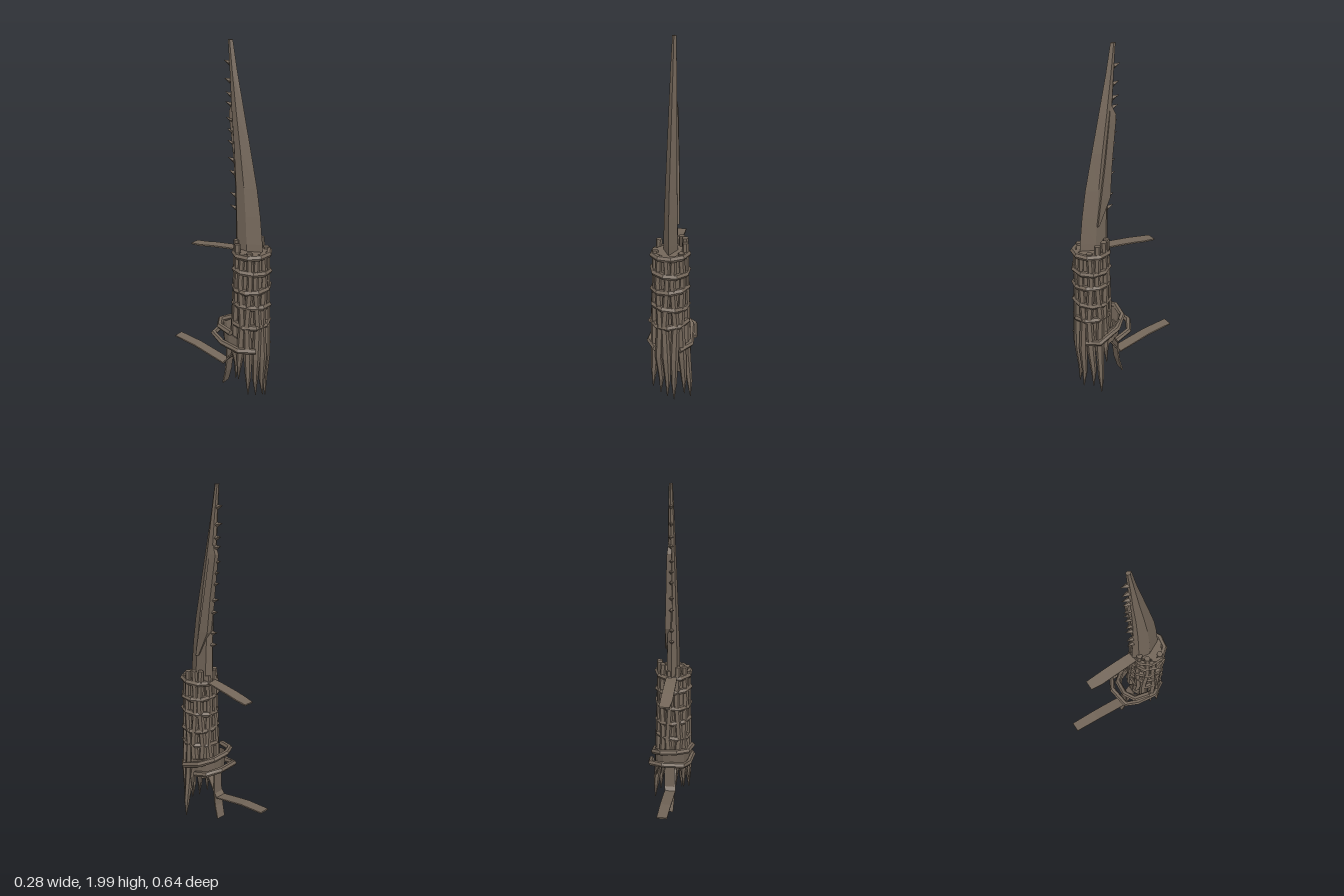
import * as THREE from 'three';

const bark = new THREE.MeshStandardMaterial({ color: 0x74675a, flatShading: true, side: THREE.DoubleSide });
bark.name = 'weathered brown';

// Surface through equal-length cross-sections, closed around and capped
function loft(sections) {
  const n = sections[0].length, pos = [], idx = [];
  sections.forEach(s => s.forEach(p => pos.push(...p)));
  for (let i = 0; i < sections.length - 1; i++) {
    for (let j = 0; j < n; j++) {
      const a = i * n + j, b = i * n + (j + 1) % n;
      idx.push(a, b, a + n, b, b + n, a + n);
    }
  }
  const last = (sections.length - 1) * n;
  for (let j = 1; j < n - 1; j++) idx.push(0, j + 1, j, last, last + j, last + j + 1);
  const g = new THREE.BufferGeometry();
  g.setAttribute('position', new THREE.Float32BufferAttribute(pos, 3));
  g.setIndex(idx);
  g.computeVertexNormals();
  return g;
}

// Faceted rod following points, with one radius for each point
function rod(points, radii, sides = 6) {
  const P = points.map(p => new THREE.Vector3(...p));
  return loft(P.map((p, i) => {
    const t = P[Math.min(i + 1, P.length - 1)].clone().sub(P[Math.max(i - 1, 0)]).normalize();
    const ref = Math.abs(t.y) > 0.8 ? new THREE.Vector3(0, 0, 1) : new THREE.Vector3(0, 1, 0);
    const u = ref.clone().cross(t).normalize(), v = t.clone().cross(u);
    return Array.from({ length: sides }, (_, k) => {
      const a = k / sides * Math.PI * 2;
      return p.clone().addScaledVector(u, Math.cos(a) * radii[i]).addScaledVector(v, Math.sin(a) * radii[i]).toArray();
    });
  }));
}

// Thin strap through [x, y, z, half width]
function strap(points) {
  return loft(points.map(([x, y, z, w], i) => {
    const a = points[Math.max(i - 1, 0)], b = points[Math.min(i + 1, points.length - 1)];
    const l = Math.hypot(b[1] - a[1], b[2] - a[2]);
    const ny = (b[2] - a[2]) / l * 0.004, nz = -(b[1] - a[1]) / l * 0.004;
    return [[x - w, y - ny, z - nz], [x + w, y - ny, z - nz], [x + w, y + ny, z + nz], [x - w, y + ny, z + nz]];
  }));
}

export function createModel() {
  const model = new THREE.Group();
  const add = (name, geometry) => {
    const m = new THREE.Mesh(geometry, bark);
    m.name = name;
    model.add(m);
    return m;
  };

  // Curved blade: y, front z, back z, half width
  const blade = [
    [0.80, 0.272, 0.10, 0.040], [0.95, 0.268, 0.098, 0.038], [1.10, 0.252, 0.095, 0.035],
    [1.25, 0.229, 0.09, 0.031], [1.45, 0.186, 0.08, 0.026], [1.65, 0.142, 0.064, 0.021],
    [1.85, 0.098, 0.053, 0.016], [2.00, 0.070, 0.041, 0.010]];
  add('blade', loft(blade.map(([y, f, b, w]) => {
    const z = t => b + (f - b) * t;
    return [[0, y, f], [w, y, z(0.55)], [w * 0.75, y, z(0.15)], [0, y, b], [-w * 0.75, y, z(0.15)], [-w, y, z(0.55)]];
  })));

  // Splintered slab along the back edge
  add('bladeSplinter', loft([[1.05, 0.183, 0.168, 0.047], [1.2, 0.158, 0.098, 0.043], [1.4, 0.125, 0.08, 0.035],
    [1.6, 0.096, 0.054, 0.026], [1.64, 0.09, 0.05, 0.023], [1.70, 0.082, 0.076, 0.014]].map(([y, f, b, w]) =>
    [[w, y, f], [w * 0.85, y, b], [-0.005, y, b], [-0.005, y, f]])));

  // Barbs on the back edge
  [1.13, 1.2, 1.32, 1.39, 1.48, 1.54, 1.6, 1.68, 1.73, 1.8, 1.89].forEach((y, i) => {
    const z = 0.1 - (y - 1.1) * 0.06;
    add('barb', rod([[0, y - 0.006, z], [0.003 * (i % 3 - 1), y + 0.006, z - 0.038]], [0.014, 0.001], 4));
  });

  // Grip core
  add('gripCore', rod([[0, 0.27, 0.16], [0, 0.42, 0.185], [0, 0.7, 0.2], [0, 0.91, 0.205]], [0.055, 0.08, 0.083, 0.08], 9));

  // Bundled sticks: angle, top y, tip y, tip x, tip z
  const sticks = [
    [0.1, 0.96, 0.01, 0.115, 0.215], [0.65, 0.92, 0.05, 0.085, 0.25], [1.2, 0.90, 0.03, 0.032, 0.285],
    [1.7, 0.91, 0.05, -0.005, 0.29], [2.2, 0.90, 0.06, -0.045, 0.27], [2.7, 0.92, 0.08, -0.092, 0.25],
    [3.2, 0.91, 0.16, -0.10, 0.19], [3.75, 0.95, 0.14, -0.07, 0.15], [4.3, 0.96, 0.25, -0.03, 0.13],
    [4.9, 0.94, 0.24, 0.02, 0.12], [5.4, 0.97, 0.19, 0.06, 0.15], [5.85, 0.97, 0.20, 0.10, 0.17]];
  sticks.forEach(([a, top, tip, x, z], i) => {
    const at = (y, r, turn) => [Math.cos(a + turn) * r, y, 0.2 + Math.sin(a + turn) * r];
    const lean = i % 2 ? 0.1 : -0.1;
    add('stick', rod([[x, tip, z], [x * 0.95, tip + 0.1, z * 0.9 + 0.02], at(Math.max(0.3, tip + 0.17), 0.09, 0),
      at(0.5, 0.087, lean), at(0.75, 0.085, -lean), at(top, 0.082, 0)],
    [0.002, 0.016, 0.024, 0.021, 0.019, 0.017], 6));
  });

  // Cord wound around the grip
  [[0.895, 0.03], [0.80, -0.05], [0.70, 0.06], [0.60, -0.06], [0.495, 0.07]].forEach(([y, tilt], i) => {
    const g = new THREE.TorusGeometry(0.095, 0.017, 6, 9).rotateX(Math.PI / 2).rotateZ(tilt).rotateX(-tilt);
    const ring = add('cordRing', g.rotateY(i * 0.3));
    ring.position.set(0, y, 0.203);
  });

  // Loose tilted coils at the lower back
  const coil = pts => add('looseCoil', rod(pts, pts.map(() => 0.017), 6));
  coil([[0.06, 0.35, 0.28], [0.115, 0.36, 0.22], [0.105, 0.41, 0.1], [0.05, 0.445, 0.035], [-0.04, 0.46, 0.025],
    [-0.1, 0.455, 0.06], [-0.12, 0.445, 0.15]]);
  coil([[0.122, 0.345, 0.12], [0.112, 0.375, 0.03], [0.04, 0.392, -0.01], [-0.08, 0.385, 0.005],
    [-0.105, 0.36, 0.08], [-0.118, 0.35, 0.2], [-0.07, 0.35, 0.28]]);

  // Wide wrap between the coils
  const wrap = [];
  for (let i = 0; i <= 8; i++) {
    const a = Math.PI * (0.95 + i / 8 * 1.1), c = Math.cos(a) * 0.1, s = Math.sin(a);
    const z = 0.15 + s * 0.125, y = 0.36 - s * 0.04;
    wrap.push([[c, y - 0.04, z + 0.02], [c * 1.04, y - 0.04, z + 0.012], [c * 1.04, y + 0.06, z], [c, y + 0.06, z + 0.008]]);
  }
  add('wideWrap', loft(wrap));

  // Loose strap ends
  add('upperStrap', strap([[0.0, 0.9, 0.12, 0.03], [0, 0.895, 0.05, 0.032], [0, 0.882, -0.06, 0.033],
    [0, 0.872, -0.12, 0.033], [0.003, 0.865, -0.19, 0.028]]));
  add('lowerStrap', strap([[0, 0.29, 0.11, 0.03], [0, 0.225, 0.07, 0.03], [0, 0.178, 0.035, 0.032],
    [0, 0.2, -0.06, 0.032], [0, 0.225, -0.17, 0.031], [0.001, 0.243, -0.32, 0.029]]));
  add('hangingStrap', strap([[0.005, 0.38, 0.055, 0.028], [0.005, 0.19, 0.053, 0.03], [0.005, 0.12, 0.045, 0.03],
    [0.008, 0.04, 0.024, 0.028]]));

  return model;
}
